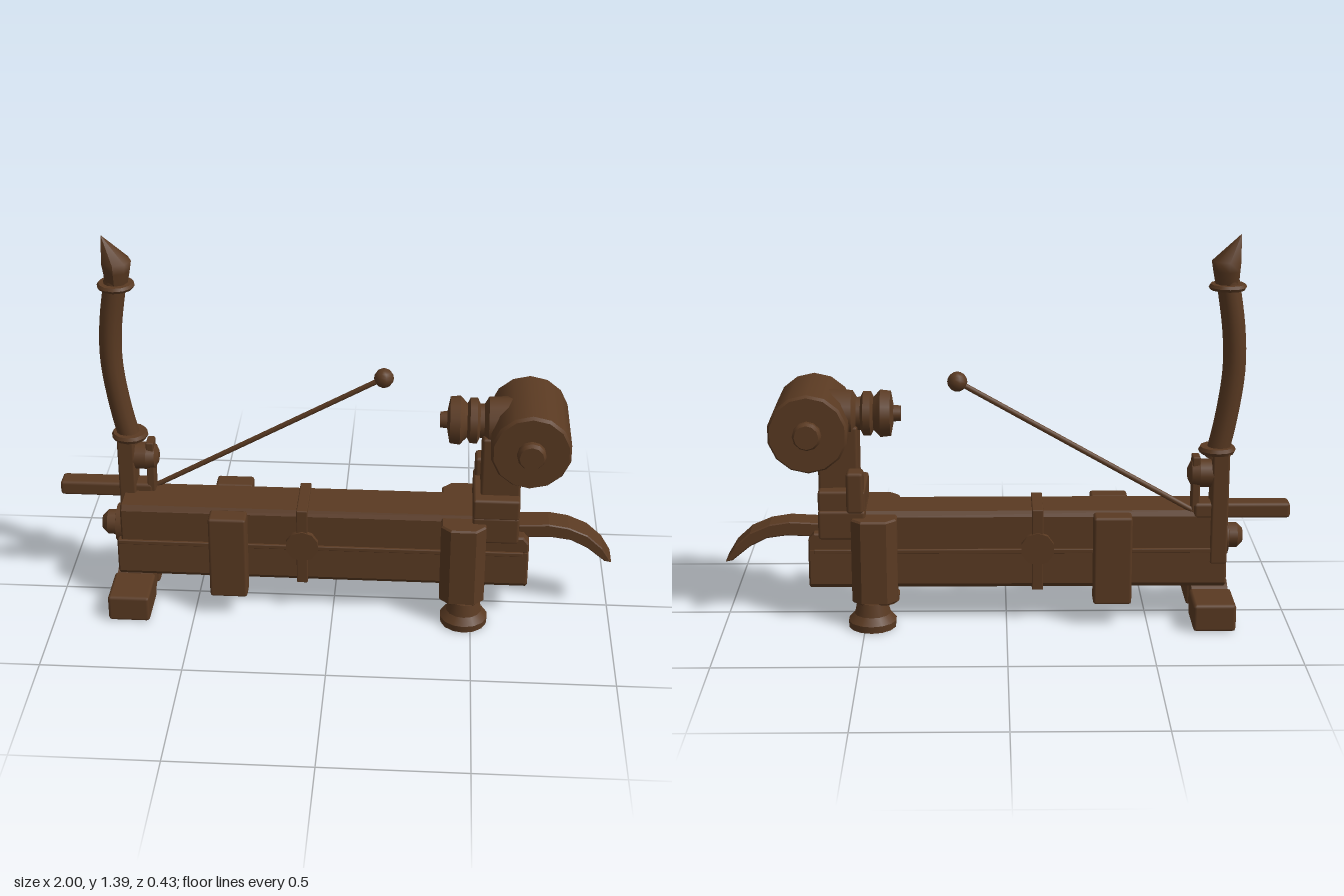
import * as THREE from 'three';
import { RoundedBoxGeometry } from 'three/addons/geometries/RoundedBoxGeometry.js';

export function createModel() {
  const root = new THREE.Group();
  const wood = new THREE.MeshStandardMaterial({ color: 0x5a3a22 });
  wood.name = 'dark brown';

  const add = (name, geo, x = 0, y = 0, z = 0) => {
    const m = new THREE.Mesh(geo, wood);
    m.name = name;
    m.position.set(x, y, z);
    root.add(m);
    return m;
  };
  // Softly edged block given by its limits
  const block = (name, x0, x1, y0, y1, z0, z1, r = 0.008) =>
    add(name, new RoundedBoxGeometry(x1 - x0, y1 - y0, z1 - z0, 1, r),
      (x0 + x1) / 2, (y0 + y1) / 2, (z0 + z1) / 2);
  // Turned part: profile of [radius, height], doubled points keep edges sharp
  const turned = (pts, n = 14) =>
    new THREE.LatheGeometry(pts.flatMap(([r, h], i) => {
      const p = new THREE.Vector2(r, h);
      return i === 0 || i === pts.length - 1 ? [p] : [p, p.clone()];
    }), n);
  // Outline in x/y extruded evenly about z = 0
  const slab = (pts, depth, bevel = 0.006) => {
    const s = new THREE.Shape(pts.map(([x, y]) => new THREE.Vector2(x, y)));
    const g = new THREE.ExtrudeGeometry(s, {
      depth: depth - 2 * bevel, bevelEnabled: bevel > 0, bevelSize: bevel,
      bevelThickness: bevel, bevelOffset: -bevel, bevelSegments: 1, curveSegments: 6,
    });
    return g.translate(0, 0, -depth / 2 + bevel);
  };

  // Long body: lower trough and slightly narrower upper half
  const along = (pts, x0, x1) => slab(pts, x1 - x0).rotateY(Math.PI / 2).translate((x0 + x1) / 2, 0, 0);
  add('lowerBody', along([[-0.09, 0.135], [0.09, 0.135], [0.1, 0.15], [0.097, 0.275], [-0.097, 0.275], [-0.1, 0.15]], -0.78, 0.7));
  add('upperBody', along([[-0.092, 0.27], [0.092, 0.27], [0.092, 0.395], [0.08, 0.415], [-0.08, 0.415], [-0.092, 0.395]], -0.765, 0.58));
  add('bodyEnd', slab([[0.5, 0.27], [0.7, 0.27], [0.7, 0.31], [0.68, 0.335], [0.5, 0.335]], 0.184));
  for (const s of [1, -1]) block('sideRail', -0.775, 0.68, 0.262, 0.278, s * 0.096 - 0.006, s * 0.096 + 0.006, 0.003);

  // Strap with round clasps around the middle
  block('strap', -0.13, -0.09, 0.125, 0.424, -0.104, 0.104, 0.004);
  for (const s of [1, -1]) {
    add('clasp', new THREE.CylinderGeometry(0.06, 0.06, 0.02, 10).rotateX(Math.PI / 2), -0.11, 0.28, s * 0.1);

    // Side brackets
    block('sideBracket', -0.44, -0.305, 0.09, 0.413, s * 0.125 - 0.037, s * 0.125 + 0.037, 0.01);

    // Front legs with flared feet
    const outer = s * 0.175, mid = s * 0.14, inner = s * 0.07;
    const outline = [[-0.08, inner], [0.08, inner], [0.08, mid], [0.045, outer], [-0.045, outer], [-0.08, mid]];
    const leg = slab(outline.map(([x, z]) => [x, -z]), 0.31, 0.006).rotateX(-Math.PI / 2);
    add('frontLeg', leg, 0.465, 0.25, 0);
    add('frontFoot', turned([[0, 0.005], [0.084, 0.005], [0.086, 0.03], [0.064, 0.055], [0.054, 0.1], [0, 0.11]]),
      0.475, 0, s * 0.127);

    // Rear foot halves
    block('rearFoot', -0.805, -0.655, 0.008, 0.108, s * 0.13 - 0.087, s * 0.13 + 0.087, 0.012);
  }
  add('rearFootBridge', new THREE.CylinderGeometry(0.06, 0.06, 0.13, 8).rotateZ(Math.PI / 2), -0.73, 0.065, 0);

  // Rear bar, bolt and upright bracket
  block('rearBar', -1, -0.66, 0.387, 0.443, -0.095, -0.022, 0.012);
  add('rearBolt', turned([[0, 0], [0.072, 0], [0.07, 0.025], [0.045, 0.03], [0.045, 0.06], [0.025, 0.08], [0, 0.08]], 12)
    .rotateZ(Math.PI / 2), -0.765, 0.295, 0);
  block('uprightPost', -0.78, -0.72, 0.22, 0.63, -0.105, -0.005);
  block('uprightPlate', -0.68, -0.652, 0.405, 0.61, -0.085, -0.025, 0.005);
  add('uprightKnob', turned([[0, -0.1], [0.05, -0.1], [0.05, -0.03], [0.045, 0], [0.022, 0.012], [0, 0.012]], 10)
    .rotateZ(-Math.PI / 2), -0.65, 0.545, -0.055);

  // Curved lever with collars
  const leverCurve = new THREE.CatmullRomCurve3([[-0.735, 0.6], [-0.765, 0.74], [-0.788, 0.92], [-0.783, 1.06], [-0.758, 1.23]]
    .map(([x, y]) => new THREE.Vector3(x, y, -0.055)));
  add('lever', new THREE.TubeGeometry(leverCurve, 16, 0.04, 12));
  add('lowerCollar', turned([[0, -0.012], [0.06, -0.012], [0.066, 0], [0.06, 0.012], [0, 0.012]], 12), -0.738, 0.632, -0.055);
  add('upperCollar', turned([[0, -0.01], [0.06, -0.01], [0.066, 0], [0.06, 0.01], [0, 0.01]], 12), -0.757, 1.212, -0.055);

  // Pointed tip leaning back to its apex
  const tip = new THREE.LatheGeometry([[0.04, 0], [0.05, 0.05], [0.056, 0.085], [0.001, 0.175]]
    .map(([r, h]) => new THREE.Vector2(r, h)), 8);
  const tp = tip.attributes.position;
  for (let i = 0; i < tp.count; i++) {
    const h = tp.getY(i);
    if (h > 0.09) tp.setX(i, tp.getX(i) - 0.043);
    else tp.setX(i, Math.max(tp.getX(i), -0.043));
  }
  tip.computeVertexNormals();
  add('leverTip', tip, -0.755, 1.217, -0.055);

  // Slender rod with a ball
  const a = new THREE.Vector3(-0.67, 0.405, -0.075), b = new THREE.Vector3(0.17, 0.88, -0.06);
  add('rod', new THREE.TubeGeometry(new THREE.LineCurve3(a, b), 1, 0.01, 8));
  add('rodBall', new THREE.SphereGeometry(0.035, 10, 8), b.x, b.y, b.z);

  // Head mount: stepped collar and post
  block('mountCollar', 0.495, 0.66, 0.325, 0.43, -0.13, 0.12, 0.01);
  block('mountStep', 0.495, 0.66, 0.42, 0.5, -0.12, 0.12, 0.01);
  block('headPost', 0.52, 0.66, 0.42, 0.72, -0.073, 0.077, 0.01);
  block('mountLug', 0.5, 0.56, 0.42, 0.57, -0.133, -0.06, 0.012);

  // Drum head with end hubs
  add('drum', turned([[0, -0.168], [0.132, -0.168], [0.14, -0.155], [0.14, 0.155], [0.132, 0.168], [0, 0.168]], 14)
    .rotateX(Math.PI / 2), 0.685, 0.718, 0.002);
  add('drumHubs', turned([[0, -0.2], [0.042, -0.2], [0.05, -0.185], [0.05, 0.185], [0.042, 0.2], [0, 0.2]], 12)
    .rotateX(Math.PI / 2), 0.685, 0.718, 0.002);

  // Ringed nozzle facing the lever
  add('nozzle', turned([[0, -0.08], [0.09, -0.08], [0.085, 0.02], [0.06, 0.035], [0.06, 0.05], [0.08, 0.06],
    [0.08, 0.085], [0.06, 0.095], [0.07, 0.105], [0.086, 0.12], [0.082, 0.155], [0.03, 0.165], [0.028, 0.19], [0, 0.19]], 12)
    .rotateZ(Math.PI / 2), 0.56, 0.752, -0.005);

  // Down-curved tail
  add('tail', slab([[0.66, 0.31], [0.78, 0.315], [0.85, 0.305], [0.91, 0.275], [0.975, 0.222], [1, 0.217],
    [0.965, 0.275], [0.91, 0.325], [0.84, 0.355], [0.77, 0.366], [0.66, 0.36]], 0.098, 0.004), 0, 0, -0.003);

  return root;
}
